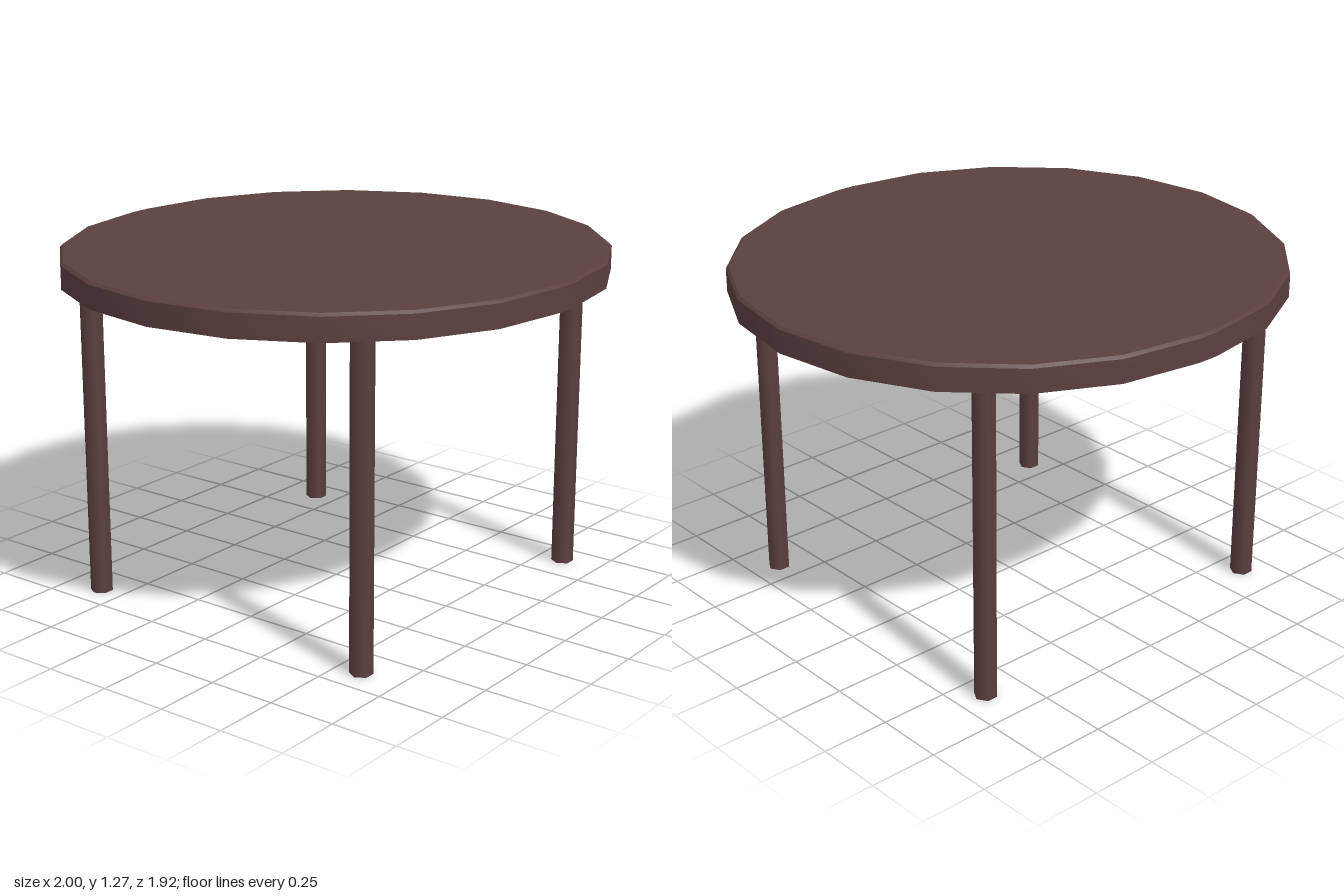
import * as THREE from 'three';
import { toCreasedNormals } from 'three/addons/utils/BufferGeometryUtils.js';

const TOP_RADIUS = 0.96, STRETCH = 0.04, UNDERSIDE = 1.175, HEIGHT = 1.27;

// Twenty-sided disc, split across the middle and pulled apart slightly along x
function tabletopGeometry() {
  const bevel = 0.01, sides = 22;
  const profile = [
    [0, UNDERSIDE], [TOP_RADIUS, UNDERSIDE], [TOP_RADIUS, HEIGHT - bevel],
    [TOP_RADIUS - bevel, HEIGHT], [0, HEIGHT],
  ].map(([r, y]) => new THREE.Vector2(r, y));
  const geometry = new THREE.LatheGeometry(profile, sides);
  const pos = geometry.attributes.position;
  for (let i = 0; i < pos.count; i++) {
    const r = profile[i % profile.length].x;
    if (r === 0) continue;
    const k = Math.floor(i / profile.length) % sides;
    const right = k < sides / 2;
    const angle = (right ? k : k - 1) * Math.PI / 10;
    pos.setX(i, r * Math.sin(angle) + (right ? STRETCH : -STRETCH));
    pos.setZ(i, r * Math.cos(angle));
  }
  return toCreasedNormals(geometry, Math.PI / 6);
}

export function createModel() {
  const model = new THREE.Group();
  model.name = 'roundTable';
  const wood = new THREE.MeshStandardMaterial({ color: 0x5d4040 });

  const tabletop = new THREE.Mesh(tabletopGeometry(), wood);
  tabletop.name = 'tabletop';
  model.add(tabletop);

  // Four slim six-sided legs with smooth sides
  const legGeometry = new THREE.CylinderGeometry(0.041, 0.041, UNDERSIDE, 6);
  legGeometry.rotateY(Math.PI / 2);
  for (const [xName, x] of [['Left', 0.642], ['Right', -0.642]]) {
    for (const [zName, z] of [['front', 0.597], ['back', -0.597]]) {
      const leg = new THREE.Mesh(legGeometry, wood);
      leg.name = `${zName}${xName}Leg`;
      leg.position.set(x, UNDERSIDE / 2, z);
      model.add(leg);
    }
  }
  return model;
}
